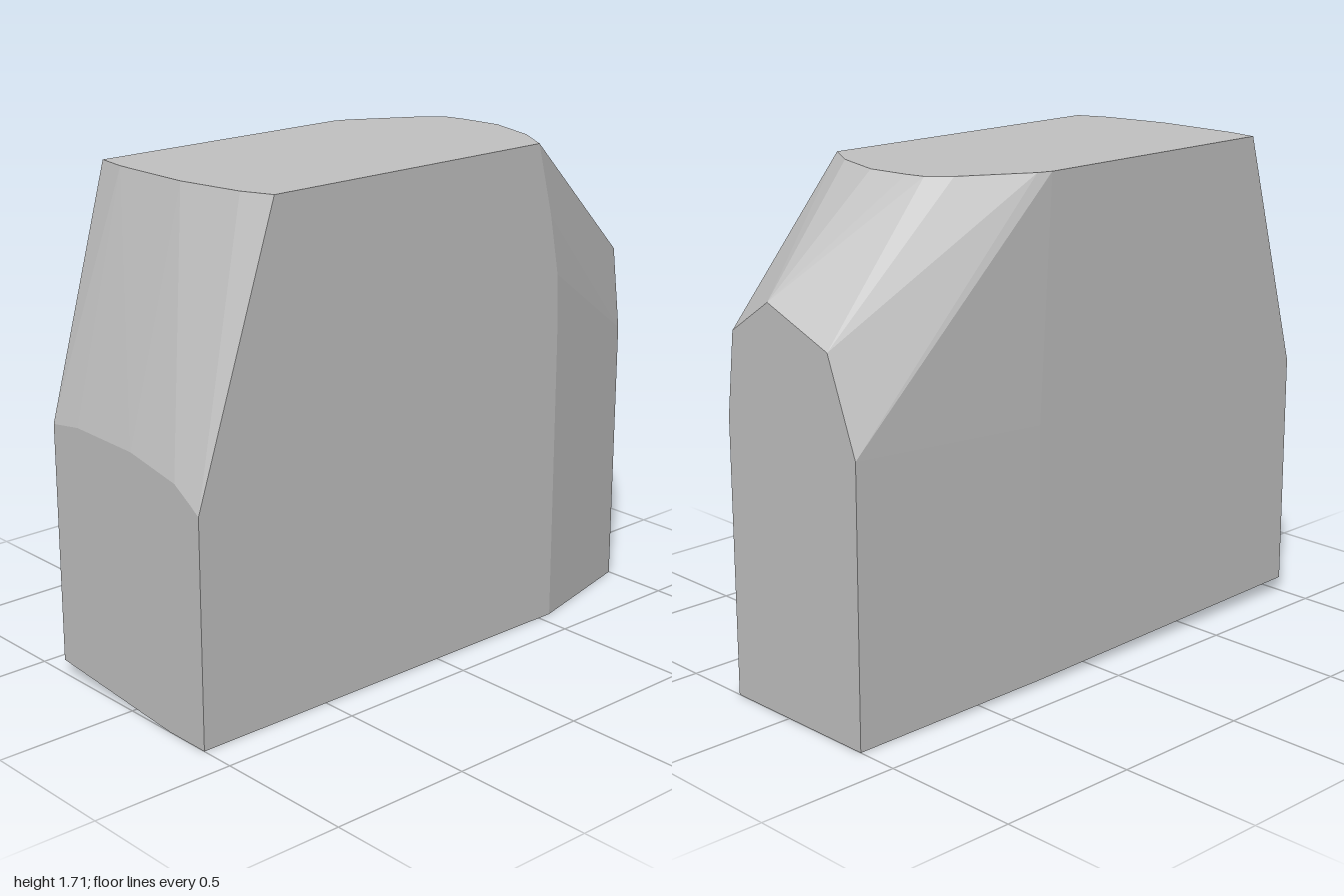
import * as THREE from 'three';
import { ConvexGeometry } from 'three/addons/geometries/ConvexGeometry.js';

const HALF = 0.375, HEIGHT = 1.71;

export function createModel() {
  const group = new THREE.Group();
  group.name = 'facetedBlock';
  const stone = new THREE.MeshStandardMaterial({ color: 0xc2c2c2 });
  stone.name = 'plain grey';

  // flat front face: x, y
  const front = [[-HALF, 0.05], [-HALF, 0.88], [-0.24, 0.9], [0.04, 0.893], [0.26, 0.85],
    [0.34, 0.8], [HALF, 0.775], [HALF, 0], [0.2, 0]];

  // flat back face: x, y
  const back = [[0.26, 0], [0.26, 0.95], [0.225, 1.235], [0.045, 1.355], [-0.235, 1.25],
    [-0.355, 0.94], [-0.35, 0]];

  // flat top: x, z
  const top = [[-HALF, 0.77], [-0.26, 0.785], [0.04, 0.78], [0.27, 0.735], [HALF, 0.69],
    [HALF, -0.44], [0.24, -0.52], [0.05, -0.575], [-0.1, -0.56], [-0.165, -0.545],
    [-0.23, -0.48], [-0.36, -0.25], [-HALF, -0.2]];

  // rear edge of the left side, where it turns inward: y, z
  const leftEdge = [[0, -0.553], [1.02, -0.553], [1.25, -0.545], [1.46, -0.505]];
  // rear edge of the right side
  const rightEdge = [[0.02, -0.25], [0.9, -0.25]];

  const points = [
    ...front.map(([x, y]) => new THREE.Vector3(x, y, 1)),
    ...back.map(([x, y]) => new THREE.Vector3(x, y, -1)),
    ...top.map(([x, z]) => new THREE.Vector3(x, HEIGHT, z)),
    ...leftEdge.map(([y, z]) => new THREE.Vector3(HALF, y, z)),
    ...rightEdge.map(([y, z]) => new THREE.Vector3(-HALF, y, z)),
  ];

  const block = new THREE.Mesh(new ConvexGeometry(points), stone);
  block.name = 'block';
  group.add(block);
  return group;
}
